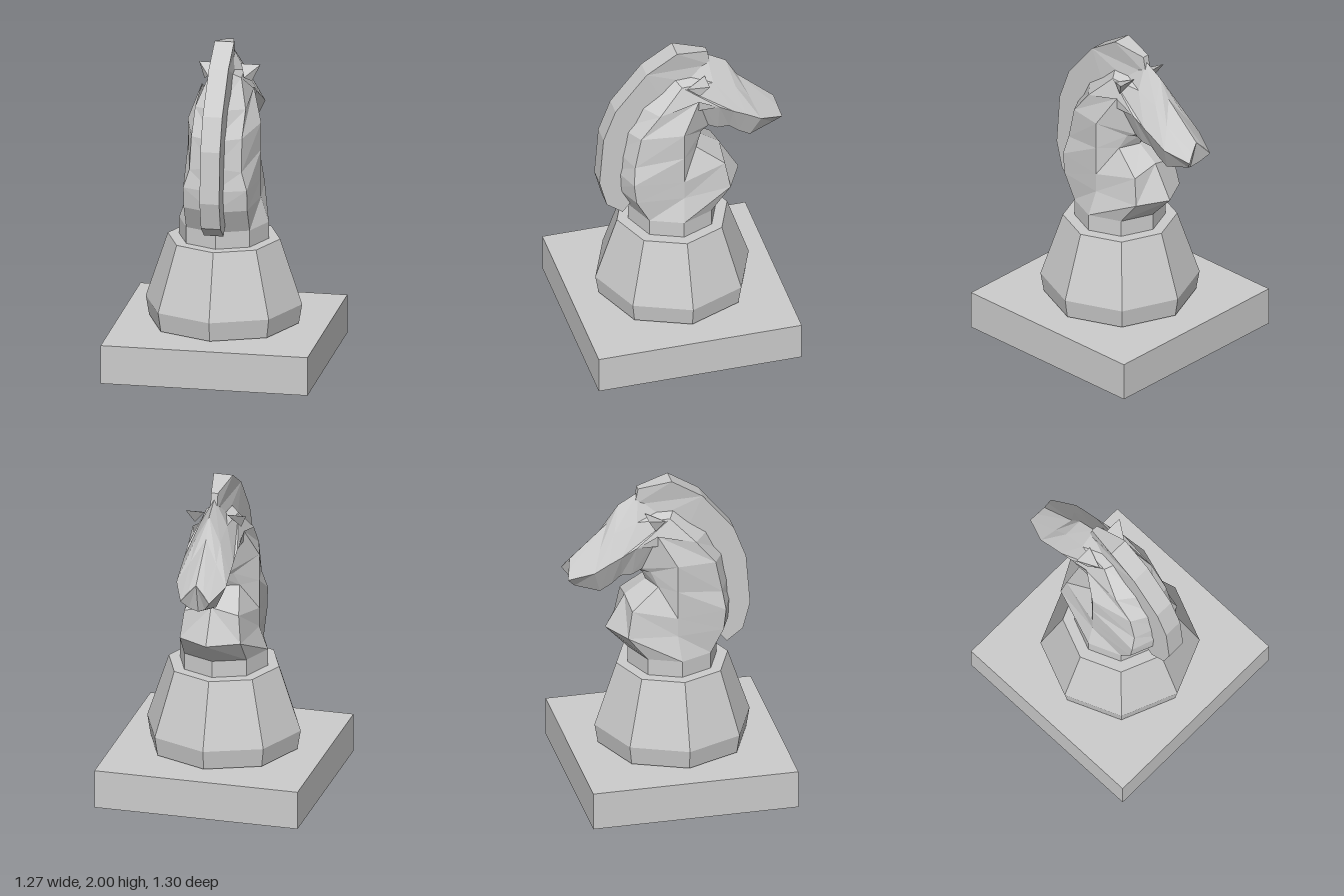
import * as THREE from 'three';

const material = new THREE.MeshStandardMaterial({
  color: 0xcccccc, flatShading: true, side: THREE.DoubleSide,
});
const CZ = 0.015; // the turned base sits slightly off z = 0

// Half sections, spine to throat: spine [y,z], three side points [x,y,z], throat [y,z]
const neckSections = [
  [[0.88, 0.29], [0.195, 0.88, 0.21], [0.275, 0.88, 0.015], [0.195, 0.88, -0.18], [0.88, -0.26]],
  [[1.03, 0.37], [0.195, 1.03, 0.29], [0.225, 1.03, 0], [0.19, 1.03, -0.3], [1.03, -0.4]],
  [[1.16, 0.375], [0.195, 1.16, 0.305], [0.225, 1.15, 0], [0.17, 1.2, -0.27], [1.24, -0.28]],
  [[1.31, 0.365], [0.16, 1.27, 0.29], [0.225, 1.33, 0], [0.13, 1.33, -0.1], [1.33, -0.15]],
  [[1.47, 0.34], [0.155, 1.47, 0.25], [0.225, 1.5, 0], [0.1, 1.42, -0.14], [1.42, -0.19]],
];
const headSections = [
  [[1.64, 0.26], [0.155, 1.62, 0.13], [0.16, 1.69, -0.11], [0.08, 1.44, -0.19], [1.4, -0.22]],
  [[1.83, 0.04], [0.1, 1.77, -0.02], [0.155, 1.62, -0.24], [0.08, 1.41, -0.25], [1.39, -0.26]],
  [[1.92, -0.2], [0.085, 1.76, -0.22], [0.155, 1.57, -0.33], [0.08, 1.41, -0.32], [1.41, -0.33]],
  [[1.85, -0.32], [0.08, 1.7, -0.36], [0.155, 1.53, -0.41], [0.08, 1.36, -0.38], [1.36, -0.4]],
  [[1.73, -0.39], [0.08, 1.6, -0.45], [0.155, 1.48, -0.5], [0.08, 1.32, -0.45], [1.3, -0.47]],
  [[1.52, -0.62], [0.05, 1.47, -0.635], [0.09, 1.42, -0.65], [0.05, 1.36, -0.6], [1.33, -0.57]],
];

// Mirrors the half sections into rings of eight and skins them
function loft(sections) {
  const pos = [], index = [];
  for (const [spine, a, b, c, throat] of sections) {
    const mirror = ([x, y, z]) => [-x, y, z];
    pos.push(0, ...spine, ...a, ...b, ...c, 0, ...throat, ...mirror(c), ...mirror(b), ...mirror(a));
  }
  const last = (sections.length - 1) * 8;
  for (let i = 0; i < last; i += 8) {
    for (let j = 0; j < 8; j++) {
      const k = (j + 1) % 8;
      const [p, q, r, s] = [i + j, i + k, i + 8 + k, i + 8 + j];
      // split quads symmetrically on the two sides
      if (j < 4) index.push(p, q, r, p, r, s);
      else index.push(p, q, s, q, r, s);
    }
  }
  for (let j = 1; j < 7; j++) index.push(last, last + j, last + j + 1); // muzzle cap
  const g = new THREE.BufferGeometry();
  g.setAttribute('position', new THREE.Float32BufferAttribute(pos, 3));
  g.setIndex(index);
  g.computeVertexNormals();
  return g;
}

// Crest of constant width that narrows towards the forelock
function maneGeometry() {
  const outline = [
    [-0.2, 1.955], [0, 2], [0.19, 1.88], [0.385, 1.64], [0.46, 1.44], [0.485, 1.12],
    [0.44, 0.95], [0.34, 0.875], [0.295, 0.93], [0.26, 1.05], [0.28, 1.25], [0.22, 1.47],
    [0.1, 1.68], [-0.05, 1.78], [-0.22, 1.85],
  ].map(([z, y]) => new THREE.Vector2(z, y));
  const g = new THREE.ExtrudeGeometry(new THREE.Shape(outline), { depth: 0.12, bevelEnabled: false });
  g.translate(0, 0, -0.06).rotateY(-Math.PI / 2);
  const p = g.attributes.position;
  for (let i = 0; i < p.count; i++) {
    const t = Math.min(1, Math.max(0, -p.getZ(i) / 0.2));
    p.setX(i, p.getX(i) * (1 - 0.65 * t));
  }
  g.computeVertexNormals();
  return g;
}

// Small pointed ear; side is +1 or -1
function earGeometry(side) {
  const g = new THREE.BufferGeometry();
  g.setAttribute('position', new THREE.Float32BufferAttribute([
    side * 0.188, 1.81, -0.17,
    side * 0.07, 1.81, -0.17,
    side * 0.11, 1.76, -0.05,
    side * 0.145, 1.72, -0.12,
  ], 3));
  g.setIndex(side > 0 ? [0, 1, 2, 0, 2, 3, 0, 3, 1, 1, 3, 2] : [0, 2, 1, 0, 3, 2, 0, 1, 3, 1, 2, 3]);
  g.computeVertexNormals();
  return g;
}

export function createModel() {
  const model = new THREE.Group();
  model.name = 'chessKnight';
  const add = (name, geometry, y = 0, z = 0) => {
    const mesh = new THREE.Mesh(geometry, material);
    mesh.name = name;
    mesh.position.set(0, y, z);
    model.add(mesh);
  };

  // Square plinth and eight-sided pedestal
  add('plinth', new THREE.BoxGeometry(1.27, 0.24, 1.27), 0.12, CZ);
  const profile = [[0, 0.25], [0.46, 0.25], [0.48, 0.37], [0.345, 0.775], [0, 0.775]];
  add('pedestal', new THREE.LatheGeometry(profile.map(([r, y]) => new THREE.Vector2(r, y)), 8), 0, CZ);
  add('collar', new THREE.CylinderGeometry(0.275, 0.275, 0.11, 8, 1, true), 0.825, CZ);

  // Horse
  add('neckAndHead', loft([...neckSections, ...headSections]));
  add('mane', maneGeometry());
  add('leftEar', earGeometry(1));
  add('rightEar', earGeometry(-1));
  return model;
}
